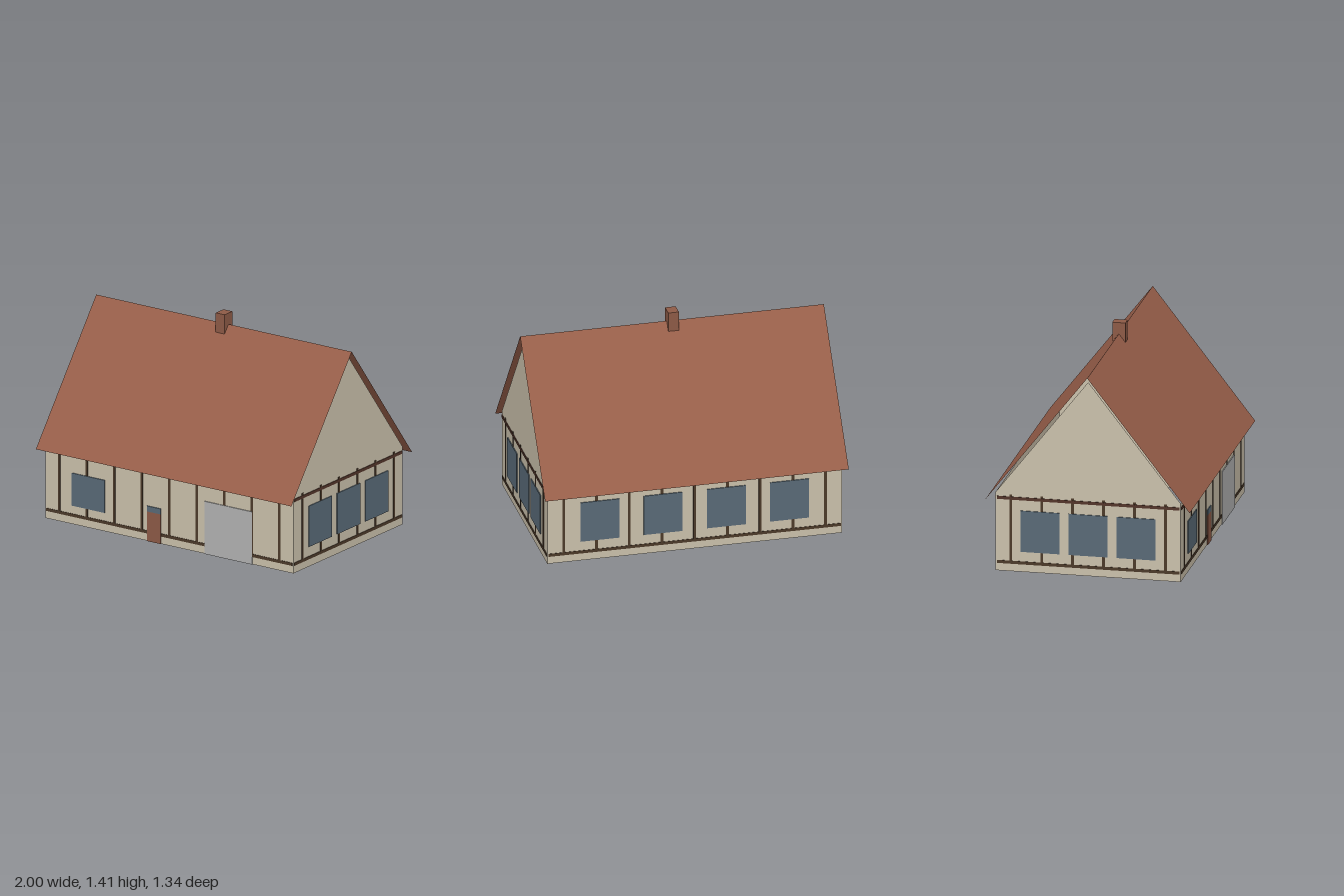
import * as THREE from 'three';

const material = (name, color, side = THREE.FrontSide) => {
  const m = new THREE.MeshStandardMaterial({ color, side });
  m.name = name;
  return m;
};

export function createModel() {
  const house = new THREE.Group();
  house.name = 'house';

  const plaster = material('plaster', 0xcac0ab, THREE.DoubleSide);
  const tile = material('roofTile', 0x985f4a, THREE.DoubleSide);
  const brick = material('brick', 0x8d5a46);
  const timber = material('timber', 0x4b3929);
  const topTimber = material('topTimber', 0x53352a);
  const glass = material('glass', 0x596a77);
  const metal = material('garageMetal', 0xb2b2b2);

  const W = 0.97, D = 0.605, WALL = 0.525, PEAK = 1.3;
  const EAVE_Y = 0.475, EAVE_Z = 0.67, RIDGE = 1.335;

  // Thin plate on a wall's outer face, given by its edges
  function plate(wall, name, mat, x0, x1, y0, y1, depth) {
    const gap = 0.001;
    const m = new THREE.Mesh(new THREE.BoxGeometry(x1 - x0, y1 - y0, depth - gap), mat);
    m.position.set((x0 + x1) / 2, (y0 + y1) / 2, (depth + gap) / 2);
    m.name = name;
    wall.add(m);
  }

  // One wall facing its own +z, with its timber frame; gables rise to a peak
  function makeWall(name, half, distance, angle, gable, posts) {
    const wall = new THREE.Group();
    wall.name = name;
    const s = new THREE.Shape();
    s.moveTo(-half, 0);
    s.lineTo(half, 0);
    s.lineTo(half, WALL);
    if (gable) s.lineTo(0, PEAK);
    s.lineTo(-half, WALL);
    s.closePath();
    const panel = new THREE.Mesh(new THREE.ShapeGeometry(s), plaster);
    panel.name = 'wallPanel';
    wall.add(panel);

    const end = half - 0.008;
    plate(wall, 'bottomBeam', timber, -end, end, 0.05, 0.07, 0.004);
    plate(wall, 'topBeam', topTimber, -end, end, 0.48, 0.5, 0.005);
    for (const x of posts) plate(wall, 'post', timber, x - 0.009, x + 0.009, 0.06, 0.515, 0.004);

    wall.rotation.y = angle;
    wall.position.set(Math.sin(angle) * distance, 0, Math.cos(angle) * distance);
    house.add(wall);
    return wall;
  }

  const longPosts = Array.from({ length: 9 }, (_, i) => (i - 4) * 0.2155);
  const gablePosts = Array.from({ length: 6 }, (_, i) => (i - 2.5) * 0.2025);

  // Front: window, door with a small light, garage door
  const front = makeWall('frontWall', W, D, 0, false, longPosts);
  plate(front, 'frontWindow', glass, -0.76, -0.505, 0.125, 0.345, 0.007);
  plate(front, 'door', brick, -0.172, -0.065, 0, 0.2, 0.007);
  plate(front, 'doorWindow', glass, -0.172, -0.065, 0.2, 0.237, 0.007);
  plate(front, 'garageDoor', metal, 0.278, 0.65, 0, 0.355, 0.007);

  // Back: four windows
  const back = makeWall('backWall', W, D, Math.PI, false, longPosts);
  for (const x of [-0.624, -0.208, 0.208, 0.624])
    plate(back, 'backWindow', glass, x - 0.128, x + 0.128, 0.135, 0.41, 0.007);

  // Gable ends: three windows each
  for (const side of [1, -1]) {
    const gable = makeWall(side > 0 ? 'leftGable' : 'rightGable', D, W, side * Math.PI / 2, true, gablePosts);
    for (const x of [-0.314, 0, 0.314])
      plate(gable, 'gableWindow', glass, x - 0.127, x + 0.127, 0.135, 0.41, 0.007);
  }

  // Roof: two thin sheets meeting at the ridge
  const rise = RIDGE - EAVE_Y;
  for (const side of [1, -1]) {
    const slope = new THREE.Group();
    slope.name = side > 0 ? 'frontRoof' : 'backRoof';
    const sheet = new THREE.Mesh(new THREE.PlaneGeometry(2, Math.hypot(rise, EAVE_Z)), tile);
    sheet.name = 'roofSheet';
    sheet.position.set(0, EAVE_Y + rise / 2, EAVE_Z / 2);
    sheet.rotation.x = -Math.atan2(EAVE_Z, rise);
    slope.add(sheet);
    if (side < 0) slope.rotation.y = Math.PI;
    house.add(slope);
  }

  // Chimney astride the ridge
  const chimney = new THREE.Mesh(new THREE.BoxGeometry(0.07, 0.17, 0.086), brick);
  chimney.name = 'chimney';
  chimney.position.set(0, 1.325, 0);
  house.add(chimney);

  return house;
}
